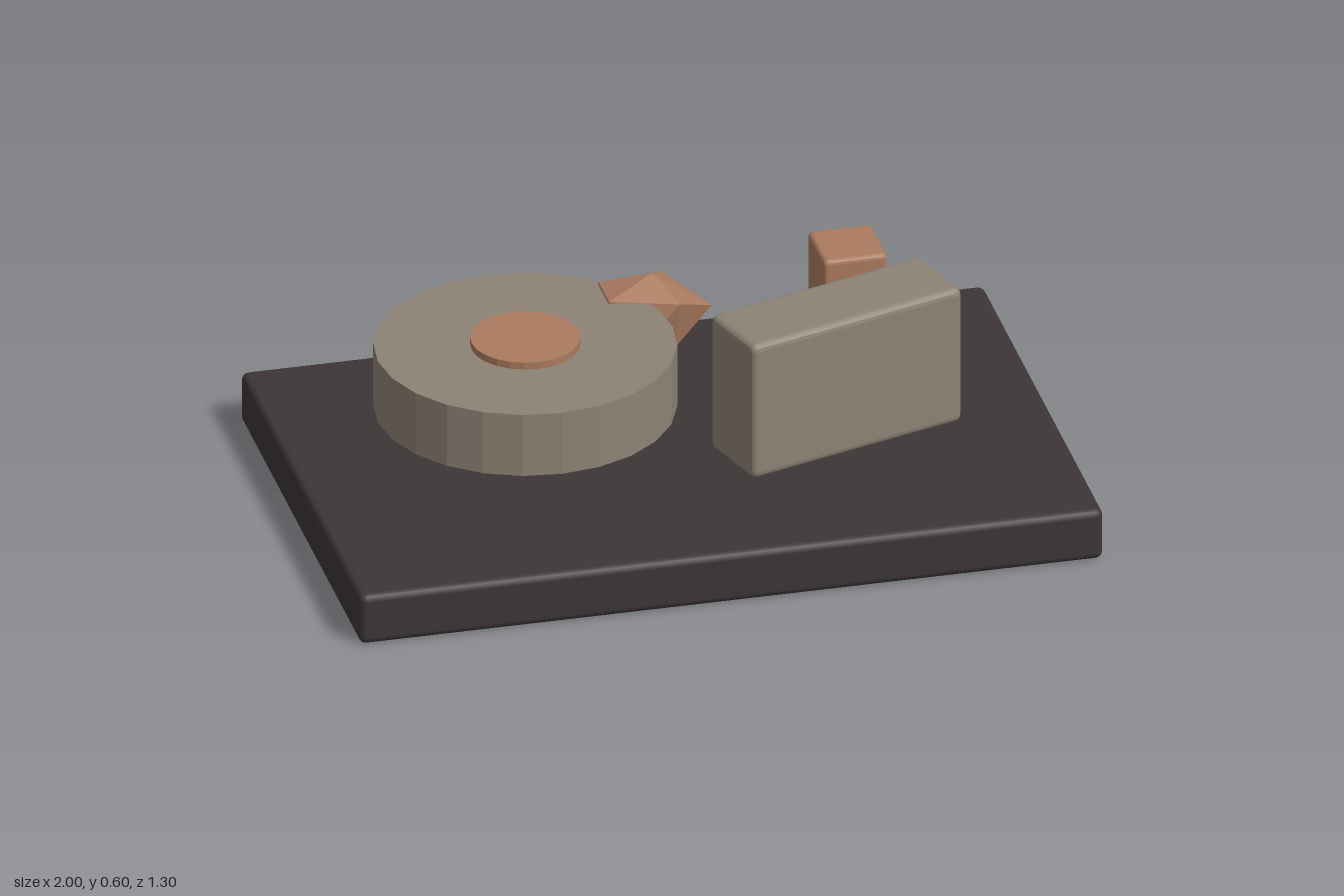
import * as THREE from 'three';
import { RoundedBoxGeometry } from 'three/addons/geometries/RoundedBoxGeometry.js';
import { ConvexGeometry } from 'three/addons/geometries/ConvexGeometry.js';

const mat = (name, color, flatShading = false) =>
  Object.assign(new THREE.MeshStandardMaterial({ color, flatShading }), { name });

export function createModel() {
  const group = new THREE.Group();
  const charcoal = mat('charcoal', 0x3d3636);
  const stone = mat('stone', 0x8e8275);
  const copper = mat('copper', 0xaa7a5f);
  stone.flatShading = copper.flatShading = true;

  const add = (name, geometry, material, x, y, z, turn = 0) => {
    const mesh = new THREE.Mesh(geometry, material);
    mesh.name = name;
    mesh.position.set(x, y, z);
    mesh.rotation.y = turn;
    group.add(mesh);
    return mesh;
  };

  // Base slab
  add('base', new RoundedBoxGeometry(2, 0.145, 1.3, 2, 0.02), charcoal, 0, 0.0725, 0);

  // Wheel lying flat, with a hub standing out on both sides
  add('wheel', new THREE.CylinderGeometry(0.397, 0.397, 0.18, 24), stone, -0.367, 0.33, -0.112);
  add('hub', new THREE.CylinderGeometry(0.144, 0.144, 0.22, 24), copper, -0.367, 0.33, -0.112);

  // Turned block and small upright block
  add('largeBlock', new RoundedBoxGeometry(0.64, 0.395, 0.22, 2, 0.02), stone, 0.397, 0.403, 0.182, 0.3);
  add('smallBlock', new RoundedBoxGeometry(0.172, 0.29, 0.18, 2, 0.014), copper, 0.545, 0.365, -0.293);

  // Faceted nugget: two end points and two staggered rings, mirrored across its middle
  const points = [];
  for (const [x, y, z] of [
    [0.14, 0.0, 0], [-0.02, 0.115, 0], [0.03, 0.065, 0.097], [0.03, -0.08, 0.055],
    [-0.06, -0.035, 0.097], [-0.15, 0.075, 0.057], [-0.07, -0.11, 0], [-0.2, -0.01, 0],
  ]) {
    points.push(new THREE.Vector3(x, y, z));
    if (z) points.push(new THREE.Vector3(x, y, -z));
  }
  add('nugget', new ConvexGeometry(points), copper, 0.05, 0.35, -0.333);

  return group;
}
